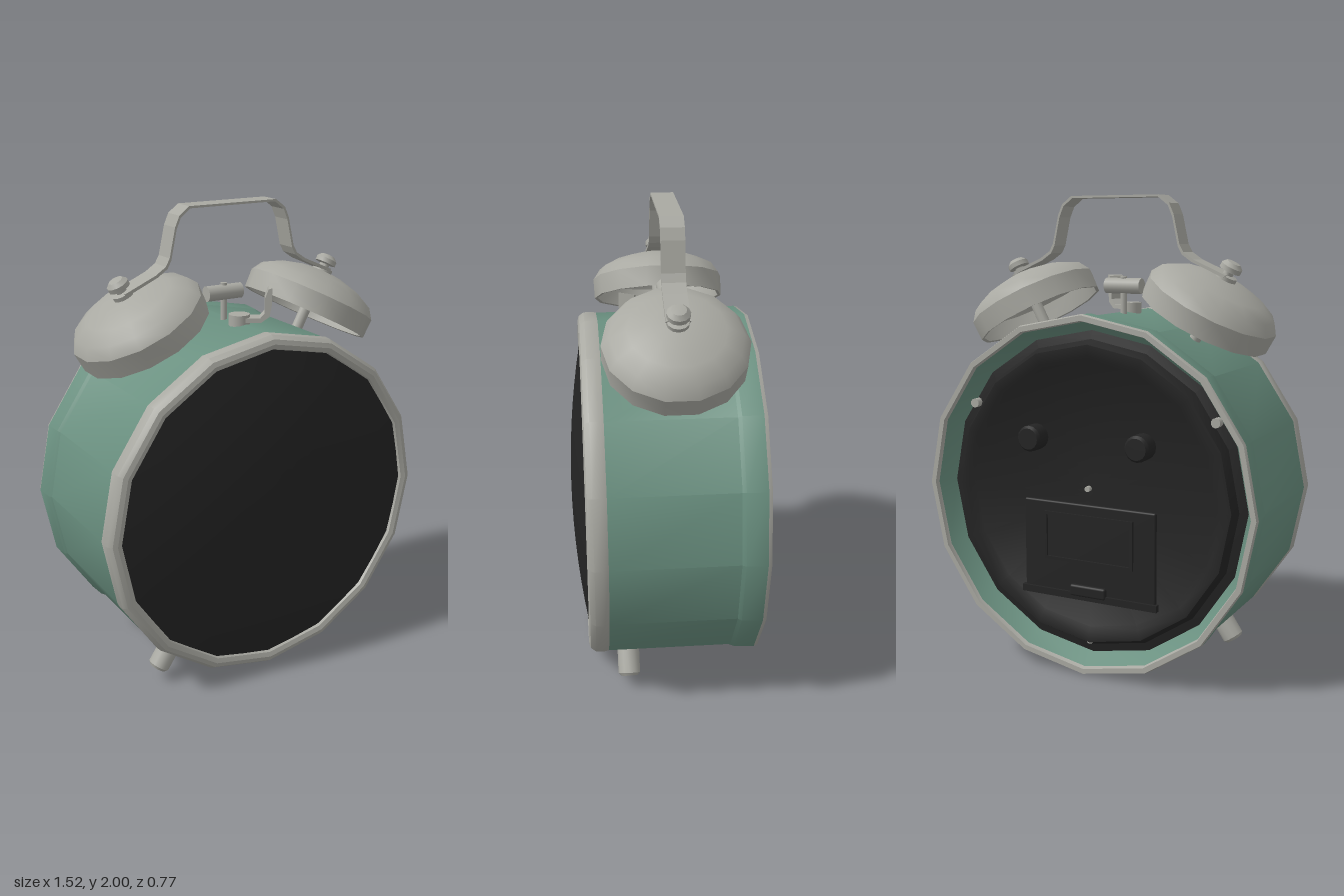
import * as THREE from 'three';
import { toCreasedNormals } from 'three/addons/utils/BufferGeometryUtils.js';
import { RoundedBoxGeometry } from 'three/addons/geometries/RoundedBoxGeometry.js';

const CY = 0.765; // height of the case centre
const mat = (name, color, side = THREE.FrontSide) => {
  const m = new THREE.MeshStandardMaterial({ color, side });
  m.name = name;
  return m;
};

export function createModel() {
  const steel = mat('brushed steel', 0xa9a9a2, THREE.DoubleSide);
  const green = mat('green enamel', 0x6a9080);
  const black = mat('black', 0x242424);
  const clock = new THREE.Group();
  clock.name = 'alarmClock';

  const add = (parent, name, geometry, material, x = 0, y = 0, z = 0) => {
    const mesh = new THREE.Mesh(geometry, material);
    mesh.name = name;
    mesh.position.set(x, y, z);
    parent.add(mesh);
    return mesh;
  };
  const lathe = (points, sides) =>
    toCreasedNormals(new THREE.LatheGeometry(points.map(p => new THREE.Vector2(...p)), sides), 0.6);
  // Ring-shaped part of the case: profile of [radius, z]
  const ring = (name, points, material, sides = 16) =>
    add(clock, name, lathe(points, sides).rotateX(Math.PI / 2), material, 0, CY);
  // Rod between two points
  const rod = (parent, name, a, b, radius, material, sides = 10) => {
    const from = new THREE.Vector3(...a), to = new THREE.Vector3(...b);
    const dir = to.clone().sub(from);
    const mesh = add(parent, name, new THREE.CylinderGeometry(radius, radius, dir.length(), sides), material);
    mesh.position.copy(from).add(to).multiplyScalar(0.5);
    mesh.quaternion.setFromUnitVectors(new THREE.Vector3(0, 1, 0), dir.normalize());
    return mesh;
  };

  // Case, rims, glass and back
  ring('caseInnerWall', [[0.69, -0.28], [0.735, -0.365]], green);
  ring('rearRim', [[0.73, -0.36], [0.735, -0.38], [0.757, -0.38], [0.762, -0.365]], steel);
  ring('caseShell', [[0.762, -0.365], [0.757, -0.28], [0.748, -0.265], [0.748, 0.25]], green);
  ring('frontRim', [[0.72, 0.25], [0.748, 0.25], [0.752, 0.27], [0.75, 0.305], [0.735, 0.326],
    [0.715, 0.332], [0.695, 0.325], [0.685, 0.3]], steel);
  const dome = [];
  for (let i = 0; i <= 8; i++) {
    const t = 1 - i / 8;
    dome.push([0.695 * t, 0.312 + 0.073 * (1 - t * t)]);
  }
  ring('glassDome', dome, black, 32);
  ring('backPanel', [[0, -0.312], [0.57, -0.312], [0.59, -0.325], [0.635, -0.325],
    [0.655, -0.29], [0.7, -0.28]], black);

  // Setting knobs on the back
  for (const s of [-1, 1]) {
    const knob = lathe([[0, 0], [0.045, 0], [0.055, 0.012], [0.055, 0.08]], 16).rotateX(Math.PI / 2);
    add(clock, 'settingKnob', knob, black, 0.25 * s, 1.0, -0.388);
  }

  // Battery door with frame, ledge and latch
  const frame = (name, w, h, border, y, z) => {
    const rect = (a, b) => [[-a, -b], [a, -b], [a, b], [-a, b]].map(p => new THREE.Vector2(p[0] / 2, p[1] / 2));
    const shape = new THREE.Shape(rect(w, h));
    shape.holes.push(new THREE.Path(rect(w - 2 * border, h - 2 * border)));
    add(clock, name, new THREE.ExtrudeGeometry(shape, { depth: 0.012, bevelEnabled: false }), black, 0, y, z);
  };
  add(clock, 'batteryDoor', new RoundedBoxGeometry(0.62, 0.4, 0.02, 2, 0.008), black, 0, 0.53, -0.314);
  frame('doorPanelFrame', 0.42, 0.21, 0.014, 0.58, -0.334);
  add(clock, 'doorLedge', new THREE.BoxGeometry(0.64, 0.03, 0.03), black, 0, 0.33, -0.32);
  add(clock, 'doorLatch', new RoundedBoxGeometry(0.17, 0.05, 0.03, 2, 0.01), black, 0, 0.355, -0.325);

  // Screws holding the back panel
  for (const [x, y, z] of [[0, 0.8, -0.315], [0.56, 1.12, -0.3], [-0.56, 1.12, -0.3], [0, 0.14, -0.3]]) {
    rod(clock, 'screw', [x, y, z + 0.02], [x, y, z - 0.018], y === 0.8 ? 0.012 : 0.02, steel);
  }

  for (const s of [-1, 1]) {
    // Tilted bell with its stem and cap nut
    const bell = new THREE.Group();
    bell.name = s > 0 ? 'leftBell' : 'rightBell';
    bell.position.set(0.39 * s, 1.488, -0.035);
    bell.rotation.z = -0.483 * s;
    clock.add(bell);
    add(bell, 'bellShell', lathe([[0.272, 0.002], [0.285, 0], [0.288, 0.085], [0.258, 0.13],
      [0.19, 0.165], [0.1, 0.19], [0, 0.2]], 14), steel);
    rod(bell, 'bellStem', [0, -0.12, 0], [0, 0.2, 0], 0.025, steel);
    add(bell, 'bellNut', lathe([[0, 0.19], [0.045, 0.19], [0.045, 0.212], [0.022, 0.216], [0.022, 0.23],
      [0.046, 0.234], [0.046, 0.254], [0.03, 0.27], [0, 0.275]], 12), steel);

    // Foot, splayed outwards
    const foot = add(clock, 'foot', lathe([[0, -0.1], [0.036, -0.1], [0.047, -0.088], [0.047, 0.1], [0, 0.1]], 12),
      steel, 0.42 * s, 0.142, 0.163);
    foot.rotation.z = 0.594 * s;
  }

  // Handle: bent metal strip joining the two bells
  const half = [[0.5, 1.677], [0.36, 1.738], [0.315, 1.768], [0.297, 1.8], [0.27, 1.92], [0.25, 1.965], [0.205, 1.999]];
  const outer = [...half.map(([x, y]) => [-x, y]), ...half.slice().reverse()];
  const inner = outer.map(([x, y]) => [x * 0.975, y - 0.009]).reverse();
  const strip = new THREE.Shape([...outer, ...inner].map(p => new THREE.Vector2(...p)));
  add(clock, 'handle', new THREE.ExtrudeGeometry(strip, { depth: 0.095, bevelEnabled: false }), steel, 0, 0, -0.083);

  // Hammer between the bells
  rod(clock, 'hammerHead', [-0.105, 1.625, -0.035], [0.06, 1.625, -0.035], 0.033, steel, 12);
  rod(clock, 'hammerPost', [-0.02, 1.48, -0.035], [-0.02, 1.665, -0.035], 0.014, steel);

  // Alarm stop lever: pivot, arm and upright tab
  const lever = new THREE.Group();
  lever.name = 'stopLever';
  lever.position.set(-0.005, 1.5, 0.065);
  lever.rotation.y = -0.55;
  clock.add(lever);
  rod(lever, 'leverPivot', [0, -0.02, 0], [0, 0.05, 0], 0.045, steel, 12);
  const side = new THREE.Shape([[0, 0.02], [0.09, 0.02], [0.125, 0.045], [0.135, 0.1], [0.135, 0.165],
    [0.12, 0.16], [0.105, 0.12], [0.105, 0.06], [0.085, 0.038], [0, 0.038]].map(p => new THREE.Vector2(...p)));
  add(lever, 'leverArm', new THREE.ExtrudeGeometry(side, { depth: 0.07, bevelEnabled: false }), steel, 0, 0, -0.035);

  return clock;
}
